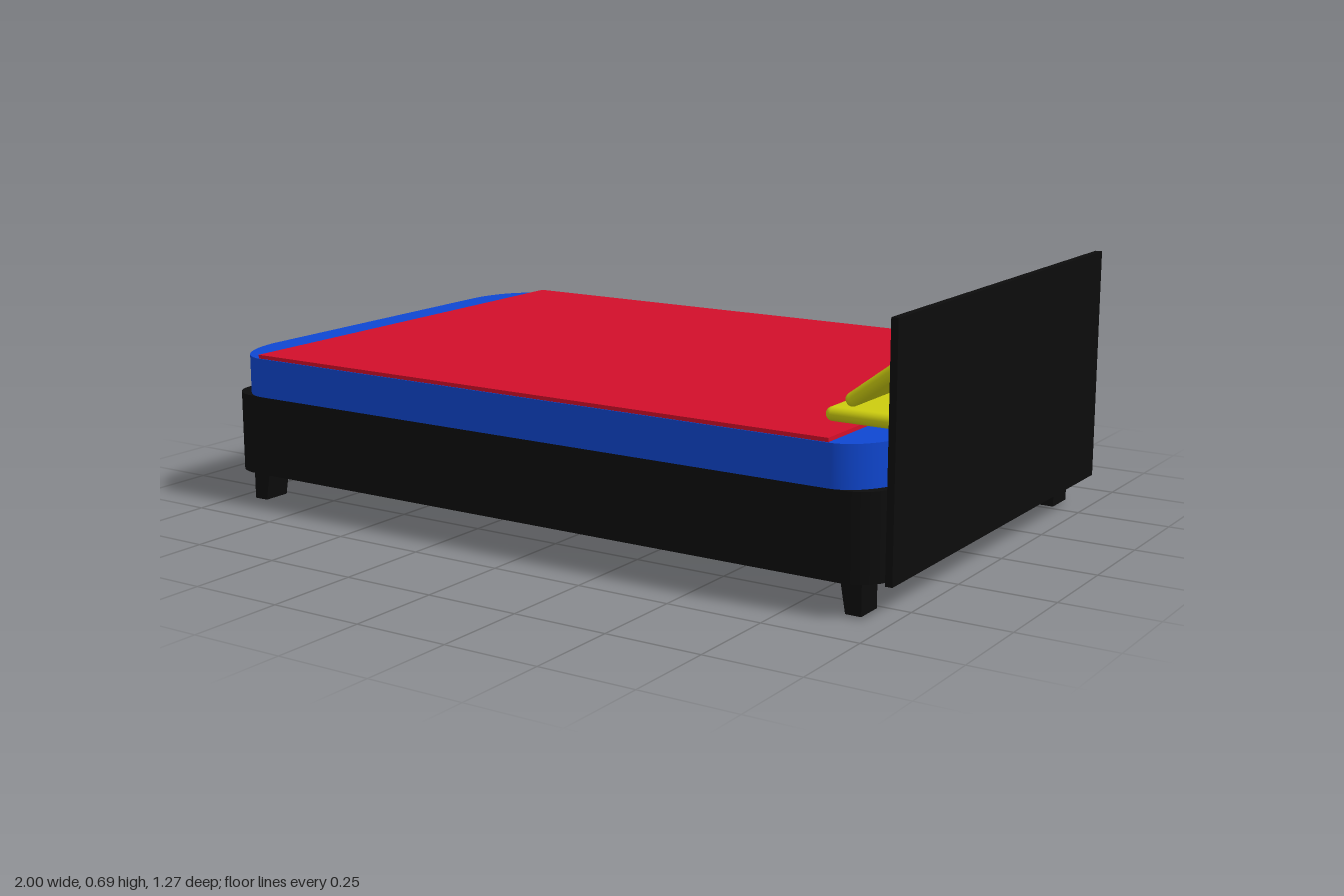
import * as THREE from 'three';
import { toCreasedNormals } from 'three/addons/utils/BufferGeometryUtils.js';
import { RoundedBoxGeometry } from 'three/addons/geometries/RoundedBoxGeometry.js';

const paint = (color) => new THREE.MeshStandardMaterial({ color });

function part(name, geometry, material) {
  const mesh = new THREE.Mesh(geometry, material);
  mesh.name = name;
  return mesh;
}

// Slab lying flat, with elliptical corners of radii rx (along x) and rz (along z)
function slab(x0, x1, halfZ, rx, rz, y0, y1) {
  const s = new THREE.Shape();
  const h = Math.PI / 2;
  s.moveTo(x0 + rx, -halfZ);
  s.absellipse(x1 - rx, -halfZ + rz, rx, rz, -h, 0);
  s.absellipse(x1 - rx, halfZ - rz, rx, rz, 0, h);
  s.absellipse(x0 + rx, halfZ - rz, rx, rz, h, 2 * h);
  s.absellipse(x0 + rx, -halfZ + rz, rx, rz, 2 * h, 3 * h);
  s.closePath();
  const g = new THREE.ExtrudeGeometry(s, { depth: y1 - y0, bevelEnabled: false, curveSegments: 12 });
  g.rotateX(-Math.PI / 2).translate(0, y0, 0);
  return toCreasedNormals(g, 0.6);
}

// Straight extrusion of an outline drawn in x and y, starting at z = 0
function prism(points, depth) {
  const shape = new THREE.Shape(points.map(([x, y]) => new THREE.Vector2(x, y)));
  return new THREE.ExtrudeGeometry(shape, { depth, bevelEnabled: false });
}

export function createModel() {
  const bed = new THREE.Group();
  bed.name = 'bed';
  const black = paint(0x0c0c0c);
  const blue = paint(0x0f47d2);
  const red = paint(0xd20f2a);
  const yellow = paint(0xcccc0f);

  // Base and mattress
  bed.add(part('frame', slab(-1, 0.975, 0.633, 0.09, 0.09, 0.085, 0.3), black));
  bed.add(part('mattress', slab(-1, 0.98, 0.635, 0.13, 0.2, 0.3, 0.405), blue));

  // Headboard
  const board = part('headboard', new THREE.BoxGeometry(0.018, 0.61, 1.19), black);
  board.position.set(0.991, 0.39, 0.005);
  bed.add(board);

  // Blanket: flat on top, hanging down over the back side only
  const blanket = prism([
    [-0.632, 0.403], [0.632, 0.403], [0.632, 0.415],
    [-0.64, 0.415], [-0.64, 0.335], [-0.632, 0.335],
  ].map(([z, y]) => [-z, y]).reverse(), 1.73);
  blanket.rotateY(Math.PI / 2).translate(-0.88, 0, 0);
  bed.add(part('blanket', blanket, red));

  // Legs: upright outer face, sloping inner face
  for (const end of [-1, 1]) {
    const outer = end < 0 ? -0.952 : 0.92;
    const outline = [
      [outer, 0.09], [outer, 0], [outer - end * 0.041, 0], [outer - end * 0.057, 0.09],
    ];
    for (const [z0, z1] of [[-0.608, -0.52], [0.515, 0.592]]) {
      const leg = part('leg', prism(outline, z1 - z0), black);
      leg.position.z = z0;
      bed.add(leg);
    }
  }

  // Pillows: one lying flat, one leaning on the headboard, for each sleeper
  for (const z of [-0.327, 0.288]) {
    const pair = new THREE.Group();
    pair.name = 'pillowPair';
    const flat = part('flatPillow', new RoundedBoxGeometry(0.198, 0.034, 0.415, 4, 0.0165), yellow);
    flat.position.set(0.861, 0.432, 0);
    const leaning = part('leaningPillow', new RoundedBoxGeometry(0.198, 0.034, 0.415, 4, 0.0165), yellow);
    leaning.position.set(0.895, 0.521, 0);
    leaning.rotation.z = 0.64;
    pair.add(flat, leaning);
    pair.position.z = z;
    bed.add(pair);
  }
  return bed;
}
